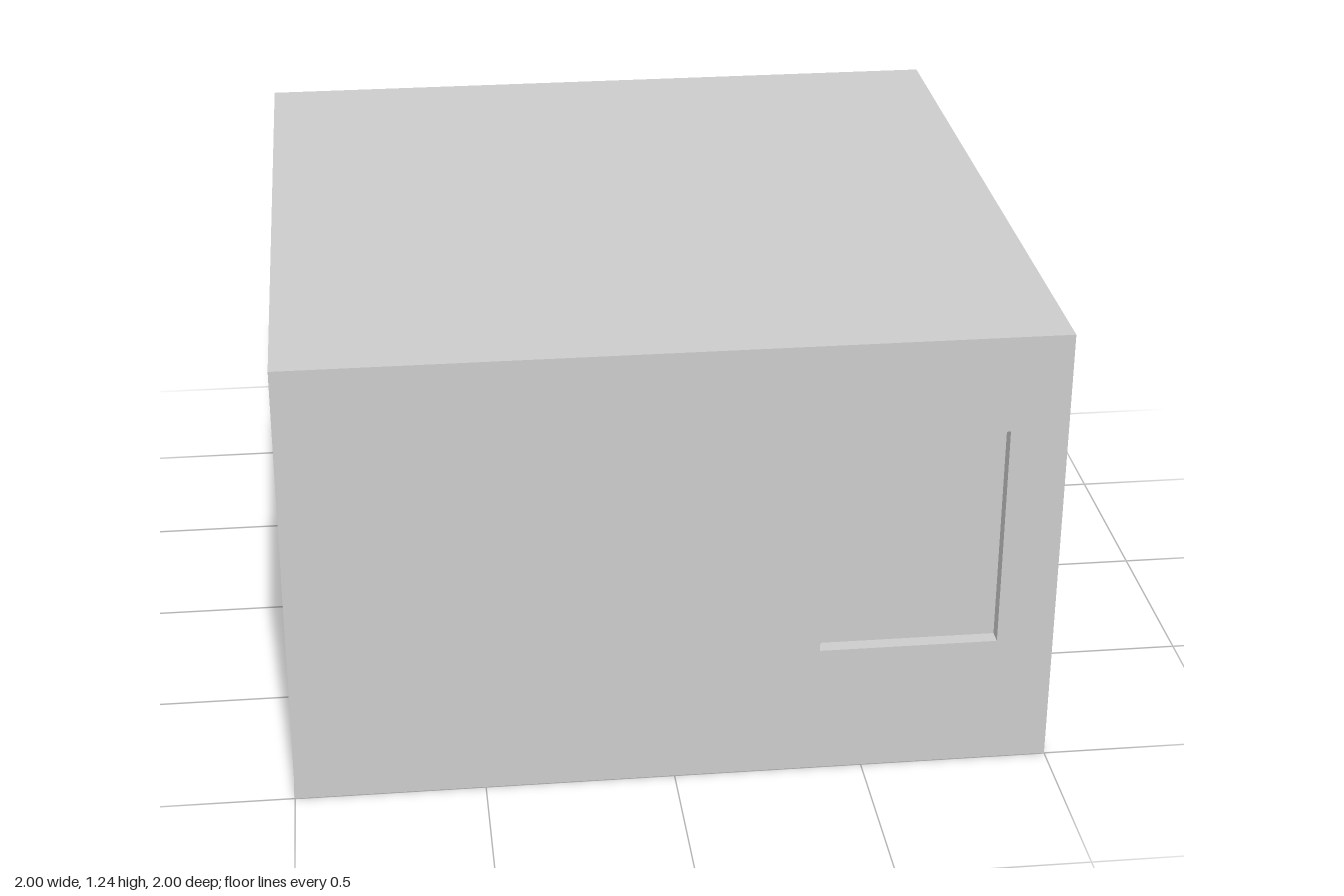
import * as THREE from 'three';

const grey = new THREE.MeshStandardMaterial({ color: 0xcccccc });
const smoothGrey = new THREE.MeshStandardMaterial({ color: 0xcccccc, side: THREE.DoubleSide });

export function createModel() {
  const root = new THREE.Group();
  root.name = 'room';

  const add = (name, geometry, parent = root, material = grey) => {
    const mesh = new THREE.Mesh(geometry, material);
    mesh.name = name;
    parent.add(mesh);
    return mesh;
  };
  // Box given by its lower and upper limits on each axis
  const box = (name, x0, x1, y0, y1, z0, z1, parent = root) => {
    const m = add(name, new THREE.BoxGeometry(x1 - x0, y1 - y0, z1 - z0), parent);
    m.position.set((x0 + x1) / 2, (y0 + y1) / 2, (z0 + z1) / 2);
    return m;
  };
  const group = (name, x = 0, y = 0, z = 0) => {
    const g = new THREE.Group();
    g.name = name;
    g.position.set(x, y, z);
    root.add(g);
    return g;
  };

  const IN = 0.91, OPEN = 0.455, FLOOR = 0.09, CEIL = 1.15, LOW = 0.015, HIGH = 1.228, TOP = 1.237;

  // Slabs: thin outer skins with thicker inner floor and ceiling
  box('basePlate', -1, 1, 0, LOW, -1, 1);
  box('floor', -IN, IN, LOW, FLOOR, -IN, IN);
  box('ceiling', -IN, IN, CEIL, HIGH, -IN, IN);
  box('roof', -1, 1, HIGH, TOP, -1, 1);

  // Front wall with the window hole
  const wall = new THREE.Shape([[-1, LOW], [1, LOW], [1, HIGH], [-1, HIGH]]
    .map(([x, y]) => new THREE.Vector2(x, y)));
  wall.holes.push(new THREE.Path([[0.38, 0.36], [0.38, 0.975], [0.85, 0.975], [0.85, 0.36]]
    .map(([x, y]) => new THREE.Vector2(x, y))));
  add('frontWall', new THREE.ExtrudeGeometry(wall, { depth: 1 - IN, bevelEnabled: false }))
    .position.z = IN;
  box('windowPane', 0.38, 0.85, 0.36, 0.975, 0.93, 0.96);

  // Back and side walls, each with a wide opening
  for (const s of [-1, 1]) {
    const sideX = s > 0 ? [IN, 1] : [-1, -IN];
    box('sideWallFront', ...sideX, LOW, HIGH, OPEN, IN);
    box('sideWallBack', ...sideX, LOW, HIGH, -IN, -OPEN);
    box('sideOpeningBar', s * 0.96 - 0.015, s * 0.96 + 0.015, 1.03, 1.06, -OPEN, OPEN);
    box('backWall', s > 0 ? OPEN : -1, s > 0 ? 1 : -OPEN, LOW, HIGH, -1, -IN);
  }
  box('backOpeningBar', -OPEN, OPEN, 1.03, 1.06, -0.975, -0.945);

  // Rectangular frame on the inner side of the front wall
  const wallFrame = (name, x0, x1, y0, y1, t) => {
    const g = group(name);
    box('frameLeft', x1 - t, x1, y0, y1, IN - 0.025, IN, g);
    box('frameRight', x0, x0 + t, y0, y1, IN - 0.025, IN, g);
    box('frameTop', x0 + t, x1 - t, y1 - t, y1, IN - 0.025, IN, g);
    box('frameBottom', x0 + t, x1 - t, y0, y0 + t, IN - 0.025, IN, g);
  };
  wallFrame('windowFrame', 0.36, 0.87, 0.34, 0.995, 0.03);
  wallFrame('wallBoardFrame', -0.36, 0.34, 0.45, 0.88, 0.035);

  // Ceiling lights
  for (const x of [-0.585, 0.585]) for (const z of [-0.62, 0.62])
    box('ceilingLight', x - 0.2, x + 0.2, CEIL - 0.025, CEIL, z - 0.15, z + 0.15);

  // Hopper machine: funnel over a box, on four legs
  const hopper = group('hopper', -0.62, 0, 0.455);
  const profile = [[0.018, 0.29], [0.018, 0.36], [0.055, 0.36], [0.16, 0.49], [0.175, 0.49],
    [0.175, 0.51], [0.15, 0.51], [0.045, 0.375], [0, 0.375]]
    .map(([r, y]) => new THREE.Vector2(r, y));
  const funnelGeometry = new THREE.LatheGeometry(profile, 24).toNonIndexed();
  funnelGeometry.computeVertexNormals();
  add('funnel', funnelGeometry, hopper, smoothGrey);
  box('hopperBox', -0.09, 0.09, FLOOR, 0.225, -0.09, 0.09, hopper);
  box('hopperBoxLid', -0.097, 0.097, 0.225, 0.24, -0.097, 0.097, hopper);
  add('funnelOutlet', new THREE.CylinderGeometry(0.025, 0.07, 0.05, 16), hopper).position.y = 0.265;
  for (const x of [-0.155, 0.155]) for (const z of [-0.145, 0.145])
    add('hopperLeg', new THREE.CylinderGeometry(0.008, 0.008, 0.34, 10), hopper)
      .position.set(x, FLOOR + 0.17, z);

  // Low tables with two panel legs
  const table = (name, x0, x1, y, z0, z1) => {
    const g = group(name);
    box('tableTop', x0, x1, y - 0.03, y, z0, z1, g);
    box('tableLeg', x0 + 0.04, x0 + 0.075, FLOOR, y - 0.03, z0 + 0.02, z1 - 0.02, g);
    box('tableLeg', x1 - 0.075, x1 - 0.04, FLOOR, y - 0.03, z0 + 0.02, z1 - 0.02, g);
  };
  table('bench', 0.41, 0.8, 0.22, -0.91, -0.78);
  table('wallTable', -0.85, -0.4, 0.42, 0.76, IN);
  box('wallShelf', -0.62, -0.42, 0.5, 0.525, 0.8, IN);

  // Cabinet beside the right opening
  box('cabinet', 0.81, IN, FLOOR, 0.715, -IN, -0.46);

  // Stool with a disc base
  const stool = group('stool', 0.64, 0, 0.54);
  for (const [name, r, h, y] of [['stoolBase', 0.07, 0.015, FLOOR + 0.0075],
    ['stoolPost', 0.015, 0.2, 0.2], ['stoolSeat', 0.075, 0.03, 0.31]])
    add(name, new THREE.CylinderGeometry(r, r, h, 24), stool).position.y = y;

  return root;
}
